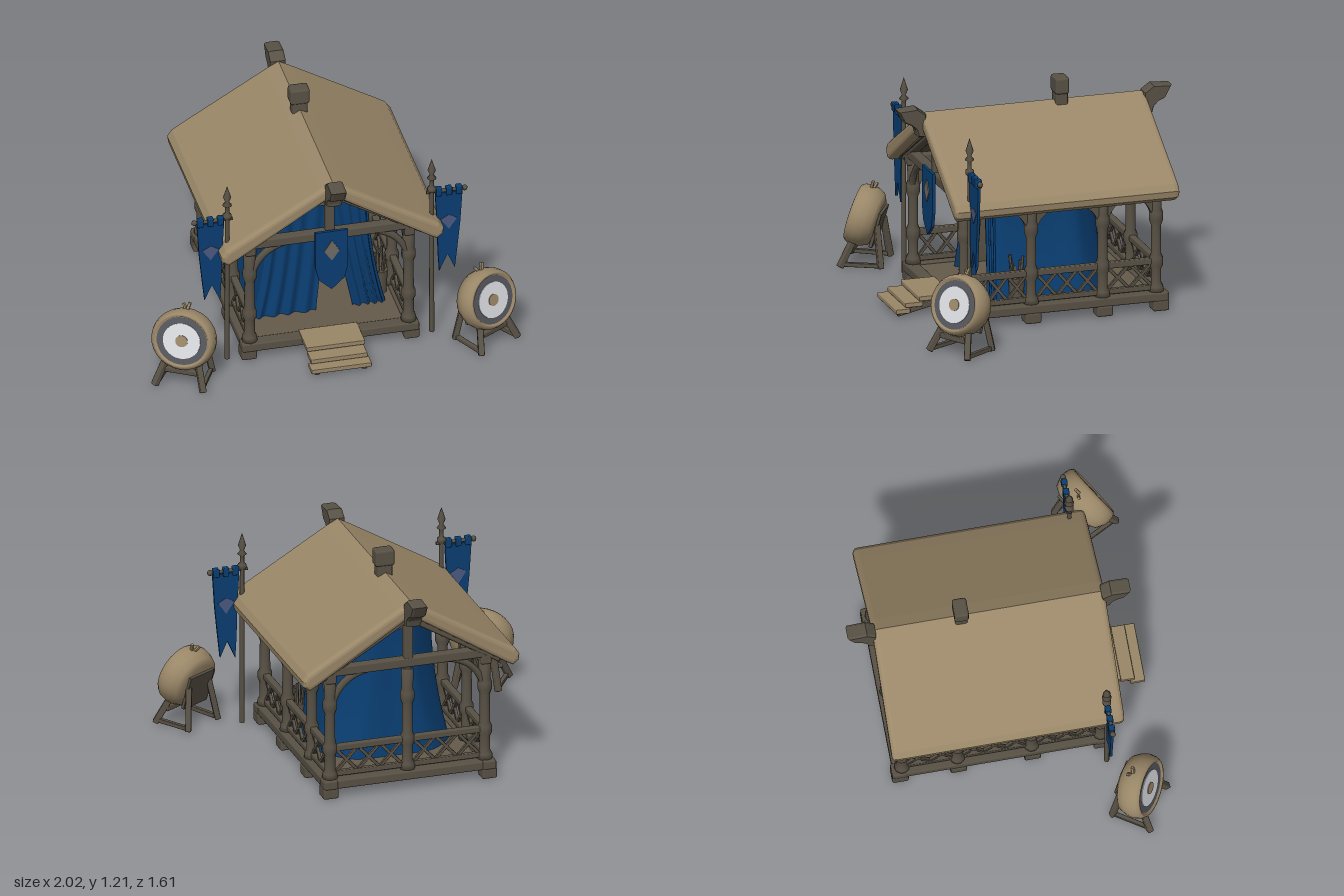
import * as THREE from 'three';
import { RoundedBoxGeometry } from 'three/addons/geometries/RoundedBoxGeometry.js';
import { ParametricGeometry } from 'three/addons/geometries/ParametricGeometry.js';

const mat = (name, color, side = THREE.FrontSide) => {
  const m = new THREE.MeshStandardMaterial({ color, side });
  m.name = name;
  return m;
};
const TAN = mat('straw tan', 0x9a8768);
const WOOD = mat('dark wood', 0x585145);
const DECK = mat('deck brown', 0x655b4b);
const BLUE = mat('blue cloth', 0x0a3e72);
const LINING = mat('tent lining', 0x655b4b, THREE.BackSide);
const WHITE = mat('target white', 0xdadce0);
const GREY = mat('slate grey', 0x54565c);
const PATCH = mat('cloth patch', 0x4c5a82);
const EMBLEM = mat('warm grey patch', 0x6f6a66);

const V = (x, y, z) => new THREE.Vector3(x, y, z);
const UP = V(0, 1, 0);
const shapeOf = pts => new THREE.Shape(pts.map(p => new THREE.Vector2(p[0], p[1])));

function add(parent, name, geo, material, x = 0, y = 0, z = 0) {
  const m = new THREE.Mesh(geo, material);
  m.name = name;
  m.position.set(x, y, z);
  parent.add(m);
  return m;
}
function box(parent, name, w, h, d, material, x, y, z) {
  return add(parent, name, new RoundedBoxGeometry(w, h, d, 1, Math.min(w, h, d) * 0.18), material, x, y, z);
}
// Square timber running from a to b
function beam(parent, name, a, b, w, h = w, material = WOOD) {
  const m = box(parent, name, w, h, a.distanceTo(b), material, 0, 0, 0);
  m.position.copy(a).add(b).multiplyScalar(0.5);
  m.quaternion.setFromRotationMatrix(new THREE.Matrix4().lookAt(b, a, UP));
  return m;
}
function plate(points, depth) {
  return new THREE.ExtrudeGeometry(shapeOf(points), { depth, bevelEnabled: false }).translate(0, 0, -depth / 2);
}
function lathe(points, seg = 12) {
  return new THREE.LatheGeometry(points.map(p => new THREE.Vector2(p[0], p[1])), seg);
}

const POST_X = 0.435, POST_Z = [0.49, 0.115, -0.285, -0.585];

function buildBase(g) {
  box(g, 'deck', 0.92, 0.035, 1.1, DECK, 0, 0.085, -0.05);
  for (const s of [-1, 1]) box(g, 'sideSill', 0.075, 0.05, 1.16, WOOD, s * 0.445, 0.088, -0.065);
  for (const z of [0.5, -0.6]) box(g, 'endSill', 0.97, 0.05, 0.075, WOOD, 0, 0.086, z);
  for (const z of [0.115, -0.285]) beam(g, 'floorJoist', V(-0.44, 0.05, z), V(0.44, 0.05, z), 0.05);
  for (const s of [-1, 1]) {
    beam(g, 'floorBrace', V(s * 0.42, 0.07, 0.47), V(s * 0.04, 0.07, -0.05), 0.045);
    for (const z of [...POST_Z.slice(0, 3), -0.6]) box(g, 'foot', 0.085, 0.06, 0.09, WOOD, s * 0.445, 0.04, z);
  }
  // Entrance steps on sloping side timbers
  box(g, 'upperStep', 0.32, 0.026, 0.19, TAN, 0, 0.103, 0.555);
  box(g, 'middleStep', 0.31, 0.026, 0.1, TAN, 0, 0.072, 0.675);
  box(g, 'lowerStep', 0.33, 0.026, 0.08, TAN, 0, 0.043, 0.74);
  for (const s of [-1, 1]) beam(g, 'stepSide', V(s * 0.13, 0.075, 0.54), V(s * 0.13, 0.025, 0.765), 0.03, 0.03);
}

const postGeo = lathe([[0, 0], [0.043, 0], [0.04, 0.04], [0.029, 0.06], [0.029, 0.14], [0.038, 0.16], [0.038, 0.2],
  [0.029, 0.22], [0.027, 0.38], [0.039, 0.41], [0.039, 0.45], [0.031, 0.47], [0.033, 0.58], [0, 0.58]], 10);

// Rails and crossed slats between two posts
function bay(g, a, b, crosses) {
  const at = (t, y) => V(a[0] + (b[0] - a[0]) * t, y, a[1] + (b[1] - a[1]) * t);
  beam(g, 'topRail', at(0, 0.282), at(1, 0.282), 0.036);
  beam(g, 'bottomRail', at(0, 0.135), at(1, 0.135), 0.03);
  for (let i = 0; i < crosses; i++) {
    const t0 = 0.07 + 0.86 * i / crosses, t1 = 0.07 + 0.86 * (i + 1) / crosses;
    beam(g, 'railSlat', at(t0, 0.14), at(t1, 0.275), 0.018);
    beam(g, 'railSlat', at(t1, 0.14), at(t0, 0.275), 0.018);
  }
}
function arch(g, a, b) {
  const len = Math.hypot(b[0] - a[0], b[1] - a[1]), r = len / 2 - 0.025;
  const s = shapeOf([[-len / 2, 0.5], [-r, 0.5]]);
  s.absellipse(0, 0.5, r, 0.148, Math.PI, 0, true);
  s.lineTo(len / 2, 0.5);
  s.lineTo(len / 2, 0.68);
  s.lineTo(-len / 2, 0.68);
  const geo = new THREE.ExtrudeGeometry(s, { depth: 0.035, bevelEnabled: false, curveSegments: 14 }).translate(0, 0, -0.0175);
  const m = add(g, 'archBrace', geo, WOOD, (a[0] + b[0]) / 2, 0, (a[1] + b[1]) / 2);
  m.rotation.y = Math.atan2(-(b[1] - a[1]), b[0] - a[0]);
}

function buildFrame(g) {
  for (const s of [-1, 1]) {
    for (const z of POST_Z) add(g, 'post', postGeo, WOOD, s * POST_X, 0.1, z);
    for (let i = 0; i < 3; i++) {
      const a = [s * POST_X, POST_Z[i]], b = [s * POST_X, POST_Z[i + 1]];
      bay(g, a, b, i === 2 ? 2 : 3);
      arch(g, a, b);
    }
    beam(g, 'wallPlate', V(s * POST_X, 0.69, 0.53), V(s * POST_X, 0.69, -0.62), 0.06);
    bay(g, [0, -0.585], [s * POST_X, -0.585], 3);
  }
  add(g, 'backPost', postGeo, WOOD, 0, 0.1, -0.585);
  // Gable trusses at both ends
  for (const z of [0.5, -0.59]) {
    beam(g, 'tieBeam', V(-0.47, 0.728, z), V(0.47, 0.728, z), 0.055);
    beam(g, 'kingPost', V(0, 0.74, z), V(0, 1.02, z), 0.05);
    for (const s of [-1, 1]) {
      beam(g, 'rafter', V(s * 0.52, 0.69, z), V(0, 1.0, z), 0.06);
      const curve = new THREE.QuadraticBezierCurve3(V(s * 0.43, 0.52, z), V(s * 0.39, 0.69, z), V(s * 0.22, 0.715, z));
      add(g, 'curvedBrace', new THREE.TubeGeometry(curve, 10, 0.02, 6), WOOD);
    }
  }
  beam(g, 'ridgeBeam', V(0, 1.0, 0.62), V(0, 1.0, -0.69), 0.07);
}

function buildRoof(g) {
  const half = [[0.07, 1.052], [0.52, 0.785], [0.585, 0.745], [0.61, 0.71], [0.605, 0.675], [0.57, 0.65], [0.53, 0.672]];
  const pts = [[0, 1.09], ...half, [0, 1.005], ...half.slice().reverse().map(p => [-p[0], p[1]])];
  const geo = new THREE.ExtrudeGeometry(shapeOf(pts), { depth: 1.2, bevelThickness: 0.028, bevelSize: 0.024, bevelOffset: -0.024, bevelSegments: 3 });
  add(g, 'roof', geo, TAN, 0, 0.003, -0.638);
  for (const s of [-1, 1]) {
    const under = box(g, 'roofUnderside', 0.6, 0.012, 1.16, WOOD, s * 0.27, 0.832, -0.04);
    under.rotation.z = -s * 0.54;
  }
  // Curved ridge ends, front and back
  const horn = [[0, 0.96], [0.045, 0.968], [0.055, 1.005], [0.08, 1.032], [0.12, 1.05], [0.155, 1.118], [0.05, 1.126], [0, 1.09]];
  for (const s of [1, -1]) {
    const h = new THREE.ExtrudeGeometry(shapeOf(horn), { depth: 0.06, bevelThickness: 0.012, bevelSize: 0.006, bevelOffset: -0.006, bevelSegments: 1 });
    h.translate(0, 0, -0.03).rotateY(-s * Math.PI / 2);
    add(g, 'ridgeHorn', h, WOOD, 0, 0, s > 0 ? 0.57 : -0.65);
  }
  box(g, 'ridgeCapStem', 0.085, 0.12, 0.068, WOOD, 0, 1.09, -0.19);
  box(g, 'ridgeCap', 0.108, 0.092, 0.078, WOOD, 0, 1.174, -0.19);
}

// Draped tent: a folded wall running round from one side of the opening to the other
function buildTent(g) {
  const wall = (u, v, out) => {
    const f = (1 - v) * (1 - v), w = 0.275 + 0.09 * f, zf = 0.26 + 0.02 * f, zb = -0.34 - 0.04 * f;
    const right = 0.05 + 0.13 * (1 - v), left = 0.05 - 0.07 * (1 - v), c = 0.15;
    const path = [[right, zf], [(right + w) / 2, zf], [w - 0.02, zf], [w, zf - 0.04], [w, -0.05], [w - 0.01, zb + c], [w - c, zb + 0.01],
      [0, zb], [c - w, zb + 0.01], [0.01 - w, zb + c], [-w, -0.05], [-w, zf - 0.04], [0.02 - w, zf], [(left - w) / 2, zf], [left, zf]];
    const curve = new THREE.CatmullRomCurve3(path.map(p => V(p[0], 0, p[1])), false, 'catmullrom', 0.4);
    const p = curve.getPoint(u), t = curve.getTangent(u);
    const front = Math.max(0, Math.abs(u - 0.5) * 7 - 2.5);
    const fold = (front > 0 ? 0.01 : 0.003) * Math.sin(front * Math.PI * 8) * (1.2 - v * 0.6);
    out.set(p.x - t.z * fold, 0.1 + v * (0.71 - 0.07 * front), p.z + t.x * fold);
  };
  const geo = new ParametricGeometry(wall, 210, 14);
  add(g, 'tentCloth', geo, BLUE);
  add(g, 'tentLining', geo, LINING);
  add(g, 'tentGable', plate([[-0.27, 0.78], [0.27, 0.78], [0.17, 0.9], [0, 1.0], [-0.17, 0.9]], 0.01), DECK, 0, 0, -0.2);
}

function buildBanners(g) {
  // Shield-shaped cloth over the entrance
  add(g, 'entranceBanner', plate([[-0.09, 0.77], [-0.09, 0.55], [-0.07, 0.47], [0, 0.405], [0.07, 0.47], [0.09, 0.55], [0.09, 0.77]], 0.016), BLUE, 0, 0, 0.545);
  add(g, 'bannerPatch', plate([[0, 0.59], [0.042, 0.65], [0, 0.715], [-0.042, 0.65]], 0.006), EMBLEM, 0, 0, 0.556);
  const flag = [[0.578, 0.89], [0.588, 0.7], [0.593, 0.52], [0.6, 0.4], [0.645, 0.5], [0.685, 0.41], [0.7, 0.55], [0.715, 0.7], [0.727, 0.89]];
  const poleGeo = lathe([[0, 0.02], [0.014, 0.02], [0.012, 0.9], [0.024, 0.91], [0.024, 0.93], [0.012, 0.94], [0.012, 0.98], [0.026, 0.99], [0.01, 1.01], [0.022, 1.04], [0, 1.11]], 10);
  for (const s of [-1, 1]) {
    const stand = new THREE.Group();
    stand.name = 'flagStand';
    g.add(stand);
    add(stand, 'pole', poleGeo, WOOD, s * 0.56, 0, 0.5);
    const bar = add(stand, 'crossbar', new THREE.CylinderGeometry(0.01, 0.01, 0.22, 8), WOOD, s * 0.64, 0.903, 0.5);
    bar.rotation.z = Math.PI / 2;
    add(stand, 'crossbarKnob', new THREE.SphereGeometry(0.016, 8, 6), WOOD, s * 0.74, 0.903, 0.5);
    add(stand, 'flag', plate(flag.map(p => [p[0] * s, p[1]]), 0.014), BLUE, 0, 0, 0.5);
    for (let i = 0; i < 3; i++) box(stand, 'flagLoop', 0.034, 0.05, 0.034, BLUE, s * (0.598 + i * 0.055), 0.9, 0.5);
    for (const f of [-1, 1])
      add(stand, 'flagPatch', plate([[-0.045, 0.725], [0, 0.66], [0.045, 0.725], [0, 0.75]], 0.004), PATCH, s * 0.652, 0, 0.5 + f * 0.008);
  }
}

function buildTarget(g, s) {
  const stand = new THREE.Group();
  stand.name = 'archeryTarget';
  stand.position.set(s * 0.828, 0, 0.638);
  stand.rotation.y = s * 0.53;
  g.add(stand);
  const head = new THREE.Group();
  head.name = 'targetHead';
  head.position.y = 0.272;
  head.rotation.x = -0.28;
  head.scale.x = 1.06;
  stand.add(head);
  // Straw body with a rounded rim around a sunken face
  const body = lathe([[0, -0.09], [0.11, -0.09], [0.145, -0.07], [0.163, -0.03], [0.168, 0.005], [0.162, 0.04], [0.15, 0.058], [0.138, 0.06], [0.13, 0.045], [0, 0.036]], 28);
  add(head, 'strawBody', body.rotateX(Math.PI / 2), TAN);
  [[0.133, GREY], [0.098, WHITE], [0.032, TAN]].forEach(([r, m], i) =>
    add(head, 'targetRing', new THREE.CylinderGeometry(r, r, 0.008, 28).rotateX(Math.PI / 2), m, 0, 0, 0.045 + i * 0.004));
  box(head, 'backBoard', 0.18, 0.2, 0.02, WOOD, 0, -0.03, -0.095);
  beam(head, 'strawTie', V(0, 0.15, 0), V(0.015, 0.205, 0), 0.016, 0.016, TAN);
  beam(head, 'strawTie', V(0, 0.15, -0.01), V(-0.025, 0.19, -0.02), 0.014, 0.014, TAN);
  for (const k of [-1, 1]) {
    beam(stand, 'frontLeg', V(k * 0.09, 0.15, 0.04), V(k * 0.135, 0.015, 0.1), 0.034);
    beam(stand, 'backLeg', V(k * 0.08, 0.25, -0.09), V(k * 0.12, 0.015, -0.12), 0.032);
    beam(stand, 'legBrace', V(k * 0.125, 0.03, 0.1), V(k * 0.115, 0.03, -0.11), 0.024);
  }
  beam(stand, 'crossBrace', V(-0.11, 0.1, 0.05), V(0.11, 0.1, 0.05), 0.03);
}

// Bucket of arrows beside the tent
function buildArrows(g) {
  const x = 0.355, z = 0.17;
  add(g, 'arrowBucket', new THREE.CylinderGeometry(0.045, 0.038, 0.14, 12), WOOD, x, 0.17, z);
  for (let i = 0; i < 6; i++) {
    const a = i * Math.PI / 3, c = Math.cos(a), d = Math.sin(a);
    beam(g, 'arrow', V(x + c * 0.02, 0.18, z + d * 0.02), V(x + c * 0.035, 0.29 + 0.035 * (i % 3), z + d * 0.035), 0.014);
  }
}

export function createModel() {
  const g = new THREE.Group();
  g.name = 'archeryPavilion';
  buildBase(g);
  buildFrame(g);
  buildRoof(g);
  buildTent(g);
  buildBanners(g);
  for (const s of [-1, 1]) buildTarget(g, s);
  buildArrows(g);
  return g;
}
